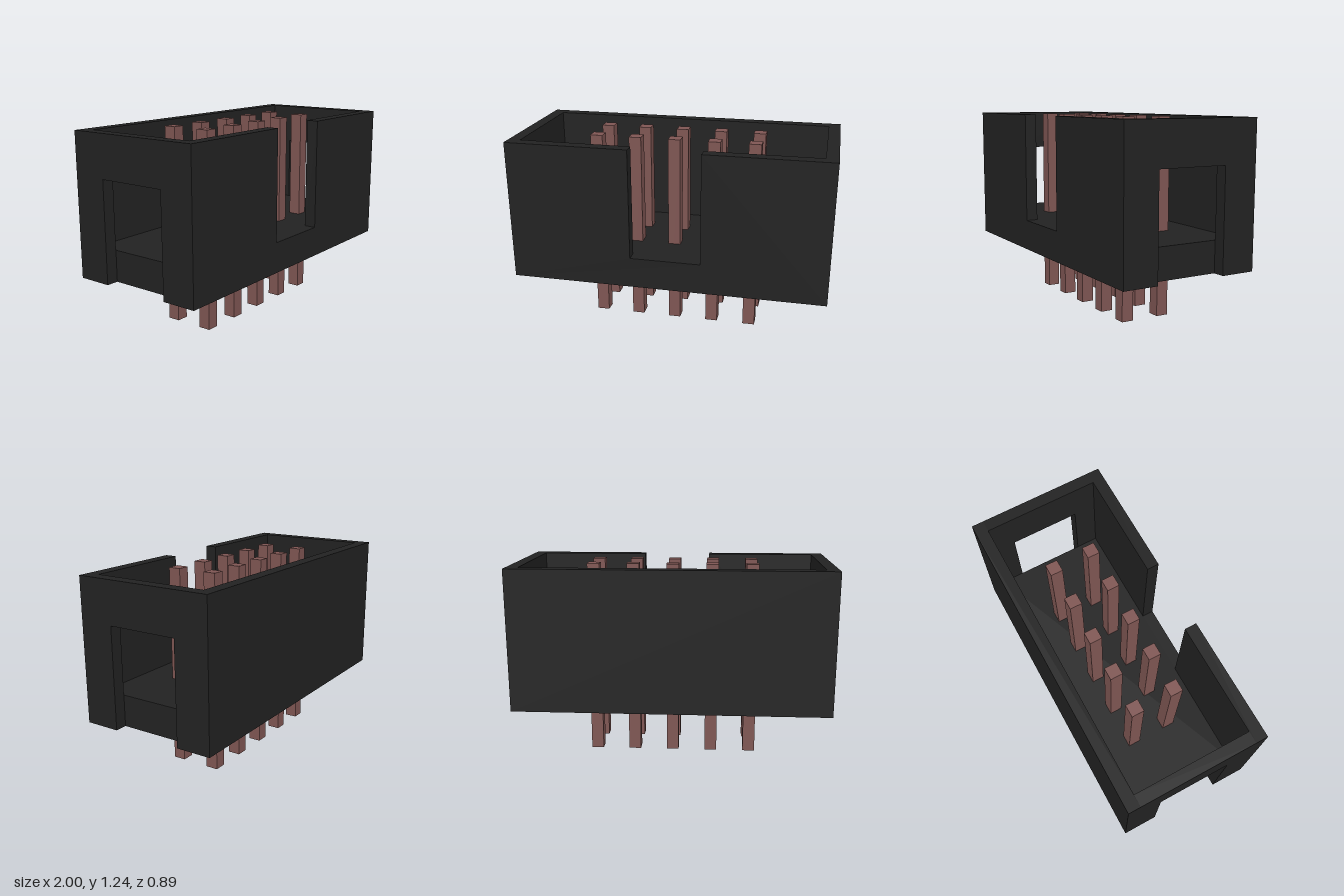
import * as THREE from 'three';

const X = 1, Z = 0.443, T = 0.076;          // half length, half depth, wall thickness
const BOTTOM = 0.34, FLOOR = 0.536, TOP = 1.236;

export function createModel() {
  const model = new THREE.Group();
  const plastic = new THREE.MeshStandardMaterial({ color: 0x222222 });
  const metal = new THREE.MeshStandardMaterial({ color: 0x7f5653 });

  const add = (parent, name, geometry, material, x, y, z) => {
    const mesh = new THREE.Mesh(geometry, material);
    mesh.name = name;
    mesh.position.set(x, y, z);
    parent.add(mesh);
    return mesh;
  };
  // Wall cut from an outline and given the wall thickness
  const wall = (points) => new THREE.ExtrudeGeometry(
    new THREE.Shape(points.map(([a, b]) => new THREE.Vector2(a, b))),
    { depth: T, bevelEnabled: false });

  const shroud = new THREE.Group();
  shroud.name = 'shroud';
  model.add(shroud);

  // Front wall with the open key notch
  const notch = 0.222;
  add(shroud, 'frontWall', wall([
    [-X, BOTTOM], [X, BOTTOM], [X, TOP], [notch, TOP],
    [notch, FLOOR], [-notch, FLOOR], [-notch, TOP], [-X, TOP],
  ]), plastic, 0, 0, Z - T);

  // Plain back wall
  const height = TOP - BOTTOM;
  add(shroud, 'backWall', new THREE.BoxGeometry(2 * X, height, T), plastic,
    0, BOTTOM + height / 2, -Z + T / 2);

  // End walls, each with a window open at the bottom
  const inner = Z - T, slot = 0.223, slotTop = 0.972;
  const endGeometry = wall([
    [-inner, BOTTOM], [-slot, BOTTOM], [-slot, slotTop], [slot, slotTop],
    [slot, BOTTOM], [inner, BOTTOM], [inner, TOP], [-inner, TOP],
  ]);
  endGeometry.rotateY(Math.PI / 2);
  add(shroud, 'leftEndWall', endGeometry, plastic, X - T, 0, 0);
  add(shroud, 'rightEndWall', endGeometry, plastic, -X, 0, 0);

  // Thick floor between the walls
  add(shroud, 'floor', new THREE.BoxGeometry(2 * (X - T), FLOOR - BOTTOM, 2 * inner),
    plastic, 0, (BOTTOM + FLOOR) / 2, 0);

  // Two rows of five square pins through the floor
  const pins = new THREE.Group();
  pins.name = 'pins';
  model.add(pins);
  const pinGeometry = new THREE.BoxGeometry(0.078, TOP, 0.078);
  for (const z of [-0.126, 0.126])
    for (let i = -2; i <= 2; i++)
      add(pins, 'pin', pinGeometry, metal, i * 0.251, TOP / 2, z);

  return model;
}
